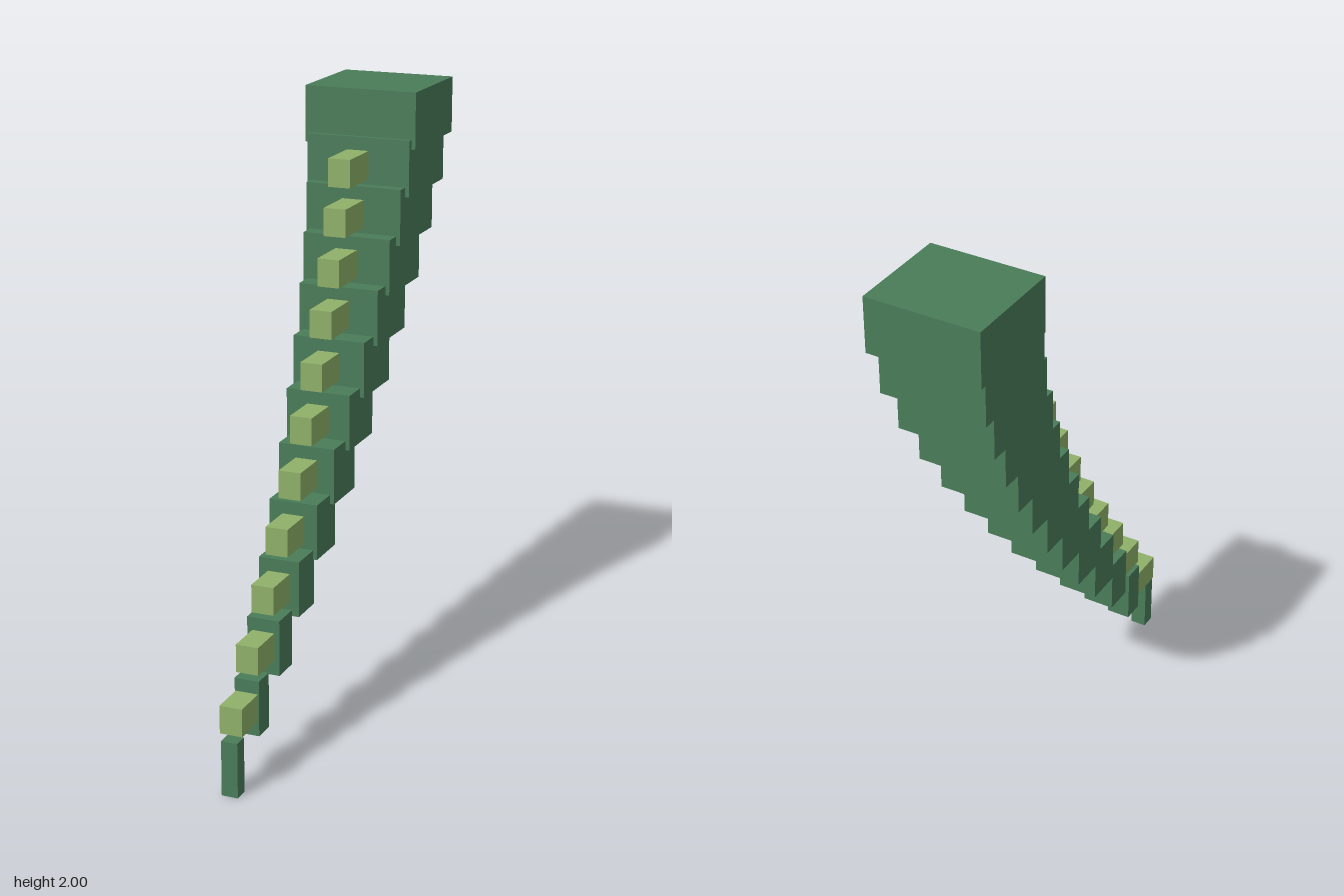
import * as THREE from 'three';

export function createModel() {
  const group = new THREE.Group();
  group.name = 'taperedTail';
  const darkGreen = new THREE.MeshStandardMaterial({ color: 0x4a7c59 });
  darkGreen.name = 'dark green';
  const lightGreen = new THREE.MeshStandardMaterial({ color: 0x8fb069 });
  lightGreen.name = 'light green';

  function addBox(name, material, w, h, d, y, z) {
    const mesh = new THREE.Mesh(new THREE.BoxGeometry(w, h, d), material);
    mesh.name = name;
    mesh.position.set(0, y, z);
    group.add(mesh);
  }

  // z centre of each segment, from the tip at the bottom to the root at the top
  const centres = [0.668, 0.524, 0.386, 0.252, 0.126, 0.007, -0.1,
    -0.2, -0.292, -0.371, -0.44, -0.491, -0.52];
  const last = centres.length - 1;
  const height = 0.182;
  const embed = 0.02;

  centres.forEach((z, i) => {
    const t = i / last;
    const y = height / 2 + t * (2 - height);
    const depth = 0.049 + 0.296 * t;
    // Body segment, growing towards the root
    addBox(`segment${i + 1}`, darkGreen, 0.054 + 0.324 * t, height, depth, y, z);

    // Spike on the front of every segment between tip and root
    if (i > 0 && i < last) {
      const reach = 0.118 + 0.0042 * (i - 1);
      addBox(`spike${i}`, lightGreen, 0.074, 0.091, reach + embed,
        y + 0.003, z + depth / 2 + (reach - embed) / 2);
    }
  });
  return group;
}
